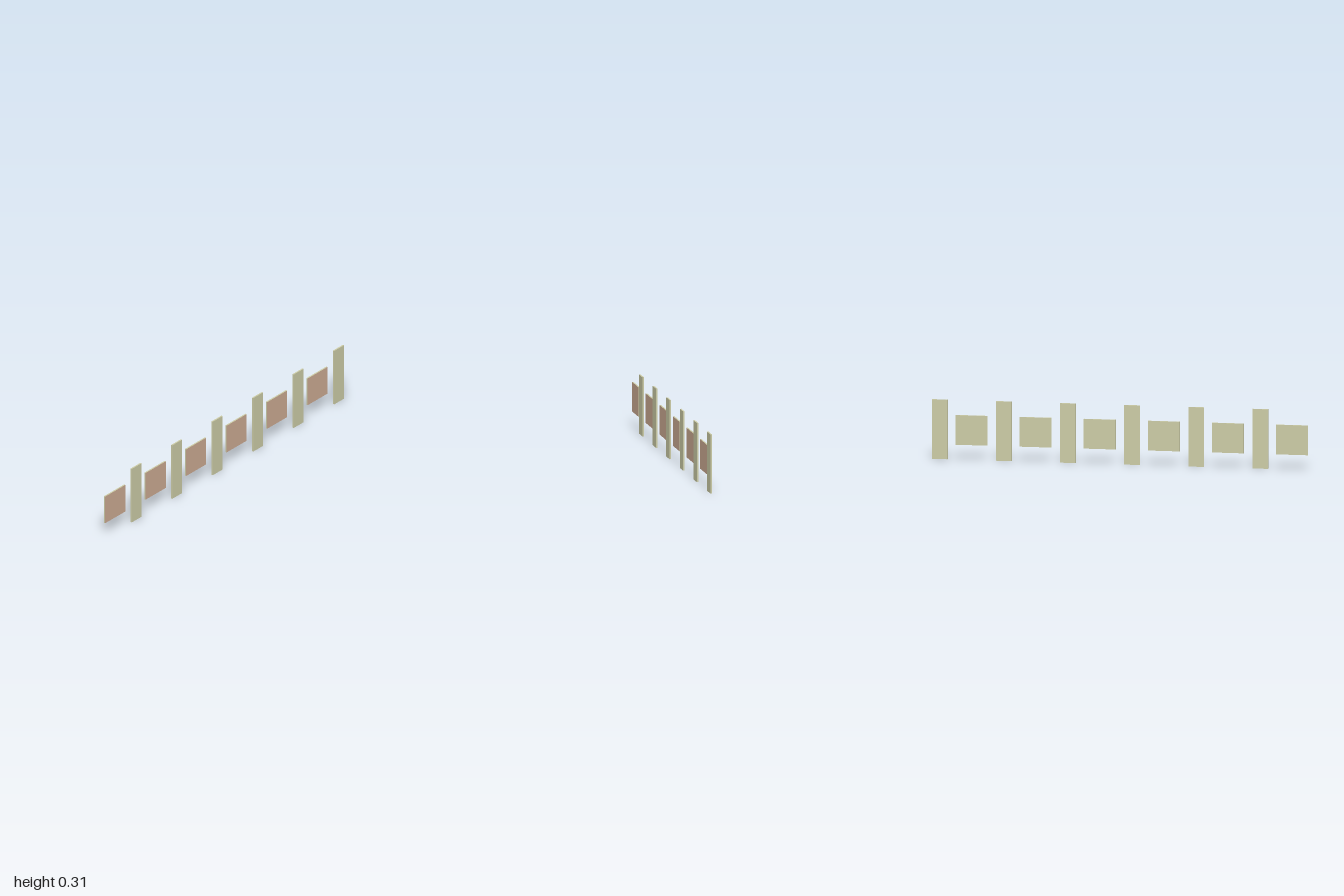
import * as THREE from 'three';

export function createModel() {
  const group = new THREE.Group();
  const olive = new THREE.MeshStandardMaterial({ color: 0xcccca6 });
  const clay = new THREE.MeshStandardMaterial({ color: 0xccaa92 });

  const count = 6, pitch = 0.3407;
  const panelSize = [0.0085, 0.156, 0.169];
  const postSize = [0.0085, 0.313, 0.083];

  const panelGeometry = new THREE.BoxGeometry(...panelSize);
  const postGeometry = new THREE.BoxGeometry(...postSize);
  // Only the +x face of each panel is clay coloured
  const panelMaterials = [clay, olive, olive, olive, olive, olive];

  for (let i = 0; i < count; i++) {
    // Short raised panel, on the -x side of the centre plane
    const panel = new THREE.Mesh(panelGeometry, panelMaterials);
    panel.name = `panel${i + 1}`;
    panel.position.set(-panelSize[0] / 2, 0.157, 1 - panelSize[2] / 2 - i * pitch);

    // Tall narrow post, on the +x side of the centre plane
    const post = new THREE.Mesh(postGeometry, olive);
    post.name = `post${i + 1}`;
    post.position.set(postSize[0] / 2, postSize[1] / 2, -1 + postSize[2] / 2 + (count - 1 - i) * pitch);

    group.add(panel, post);
  }
  return group;
}
